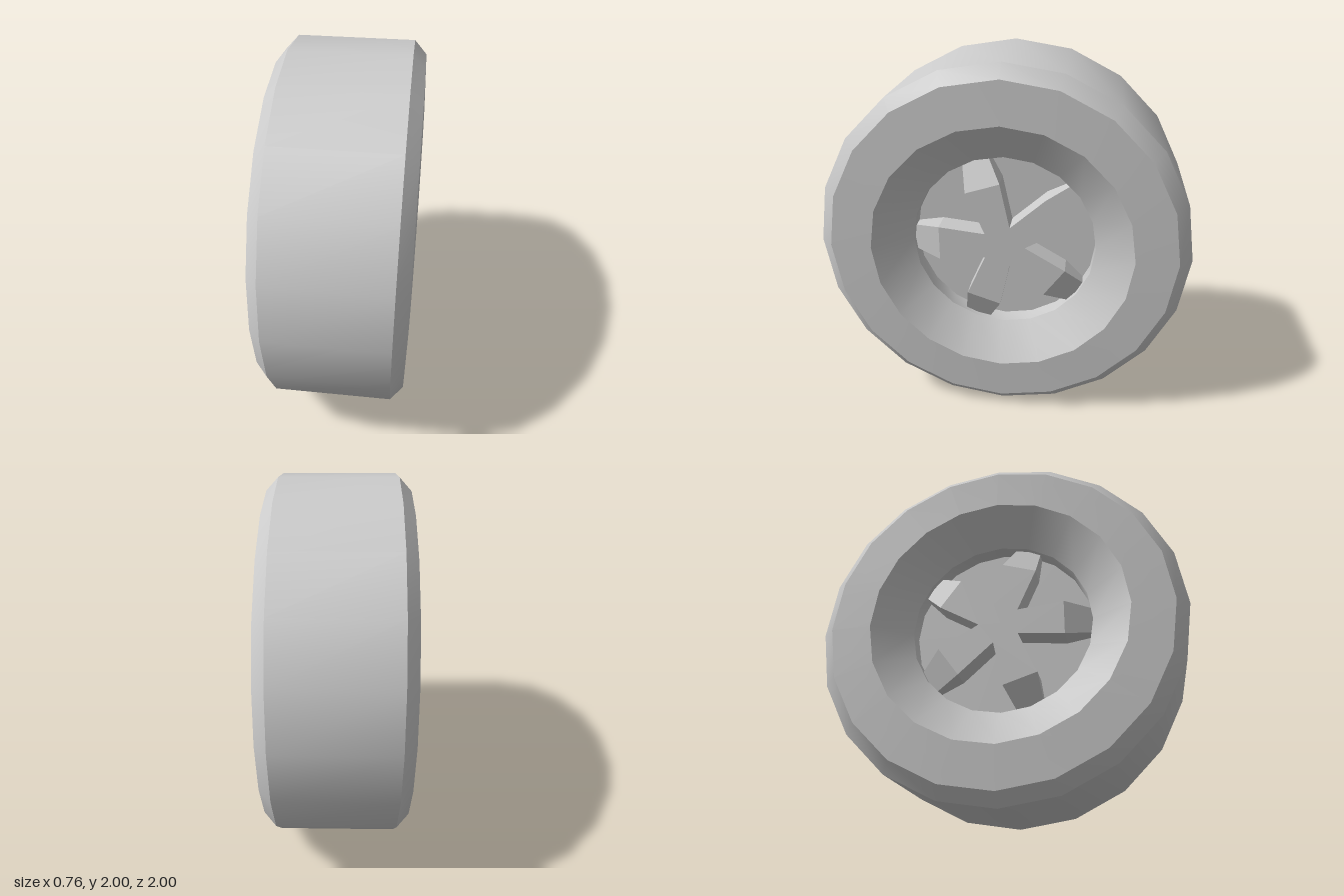
import * as THREE from 'three';
import { toCreasedNormals } from 'three/addons/utils/BufferGeometryUtils.js';
import { ConvexGeometry } from 'three/addons/geometries/ConvexGeometry.js';

const SIDES = 20;
const material = new THREE.MeshStandardMaterial({ color: 0xcccccc });

// Ring turned around the x axis from [radius, x] points, smooth round the circle, sharp across bands
function turned(name, profile) {
  const points = profile.map(([r, x]) => new THREE.Vector2(r, x));
  const geometry = new THREE.LatheGeometry(points, SIDES).rotateZ(-Math.PI / 2);
  const mesh = new THREE.Mesh(toCreasedNormals(geometry, 0.5), material);
  mesh.name = name;
  return mesh;
}

// One spoke: starts as a point at the hub, widens, then bends back into the rim
function spoke(angle, side) {
  const stations = [[0, 0, 0.28], [0.097, 0.0705, 0.28], [0.35, 0.097, 0.28], [0.51, 0.07, 0.205]];
  const c = Math.cos(angle), s = Math.sin(angle);
  const points = [];
  for (const [r, w, front] of stations)
    for (const half of w ? [-w, w] : [0])
      for (const x of [0.14, front])
        points.push(new THREE.Vector3(side * x, r * s + half * c, r * c - half * s));
  const mesh = new THREE.Mesh(new ConvexGeometry(points), material);
  mesh.name = 'spoke';
  return mesh;
}

export function createModel() {
  const wheel = new THREE.Group();
  wheel.name = 'wheel';

  // Tyre with chamfered shoulders
  wheel.add(turned('tyre', [
    [0.705, -0.38], [0.93, -0.372], [1, -0.308],
    [1, 0.308], [0.93, 0.372], [0.705, 0.38],
  ]));

  // Sloped rim, barrel and closing disc with five spokes, on both sides
  for (const side of [1, -1]) {
    const half = [[0, 0.15], [0.5, 0.15], [0.5, 0.24], [0.705, 0.38]];
    const profile = half.map(([r, x]) => [r, side * x]);
    wheel.add(turned(side > 0 ? 'leftRim' : 'rightRim', side > 0 ? profile.reverse() : profile));

    const spokes = new THREE.Group();
    spokes.name = side > 0 ? 'leftSpokes' : 'rightSpokes';
    for (let i = 0; i < 5; i++) spokes.add(spoke((i * 2 * Math.PI) / 5, side));
    wheel.add(spokes);
  }

  wheel.position.y = 1;
  const model = new THREE.Group();
  model.add(wheel);
  return model;
}
